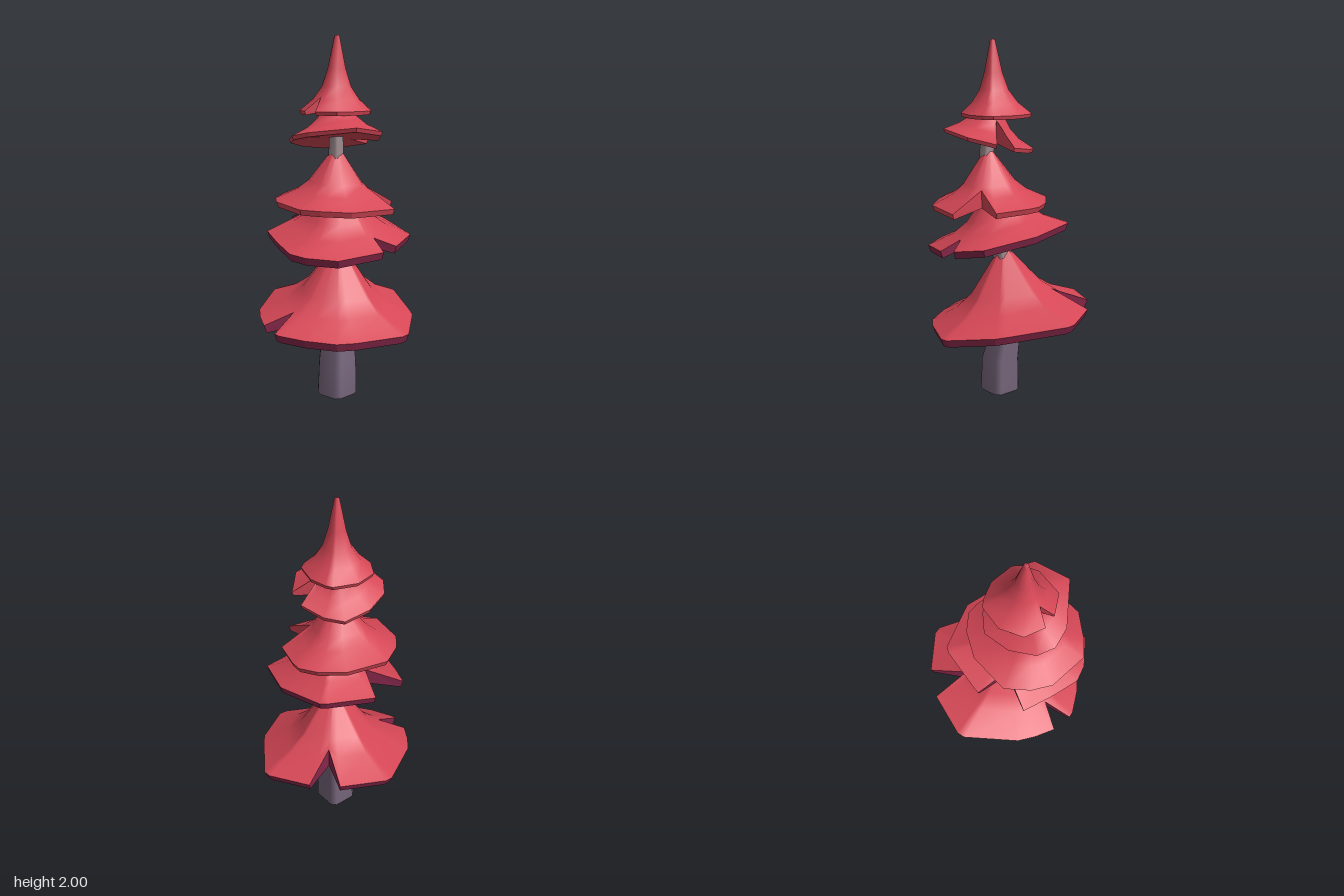
import * as THREE from 'three';

const material = (name, color) => Object.assign(new THREE.MeshStandardMaterial({ color }), { name });

// Height of the foliage surface (1 at the apex, 0 at the rim) by fraction of radius
const SOFT = [[0, 1], [0.08, 0.97], [0.45, 0.38], [0.65, 0.19], [1, 0]];
const SPIRE = [[0, 1], [0.07, 0.99], [0.25, 0.56], [0.41, 0.32], [0.65, 0.15], [1, 0]];
// The underside is slightly inset from the rim
const INSET = 0.965;

function heightAt(profile, f) {
  for (let i = 1; i < profile.length; i++) {
    const [f0, h0] = profile[i - 1], [f1, h1] = profile[i];
    if (f <= f1) return h0 + (h1 - h0) * (f - f0) / (f1 - f0);
  }
  return 0;
}

function geometryFrom(positions, index) {
  const g = new THREE.BufferGeometry();
  g.setAttribute('position', new THREE.Float32BufferAttribute(positions, 3));
  g.setIndex(index);
  g.computeVertexNormals();
  return g;
}

// One skirt of foliage. rim: [x, z] corners, or [x, z, cut] where a notch reaches in to that fraction.
// plane: rim height y = base + sx * x + sz * z; hollow: how far the underside rises to its centre
function tier({ name, apex, rim, plane, thick, hollow, profile = SOFT }, leaf, under) {
  const group = new THREE.Group();
  group.name = name;
  const n = rim.length, rings = profile.length;
  const [base, sx, sz] = plane;

  const surface = (scale, rise) => {
    const p = [];
    for (const [ring] of profile) {
      for (const [x, z, cut = 1] of rim) {
        const f = Math.min(ring, cut);
        const edge = base + sx * x + sz * z;
        const centre = base + sx * apex[0] + sz * apex[2];
        p.push(
          apex[0] + (x - apex[0]) * f * scale,
          rise(f, edge, centre),
          apex[2] + (z - apex[2]) * f * scale
        );
      }
    }
    return p;
  };
  const faces = (flip) => {
    const index = [];
    const tri = (a, b, c) => flip ? index.push(a, c, b) : index.push(a, b, c);
    for (let r = 0; r < rings - 1; r++) {
      for (let k = 0; k < n; k++) {
        const a = r * n + k, a1 = r * n + (k + 1) % n;
        tri(a, a1 + n, a + n);
        if (r > 0) tri(a, a1, a1 + n);
      }
    }
    return index;
  };

  const top = surface(1, (f, edge) => edge + (apex[1] - edge) * heightAt(profile, f));
  const bottom = surface(INSET, (f, edge, centre) =>
    centre + (edge - centre) * f + hollow * (1 - f) - thick);
  const add = (part, geometry, mat) => {
    const mesh = new THREE.Mesh(geometry, mat);
    mesh.name = part;
    group.add(mesh);
  };
  add('foliageTop', geometryFrom(top, faces(false)), leaf);
  add('foliageUnderside', geometryFrom(bottom, faces(true)), under);

  // Rim band, also forming the notch walls, with flat faces
  const band = [], last = (rings - 1) * n;
  const at = (p, k) => p.slice((last + k % n) * 3, (last + k % n) * 3 + 3);
  for (let k = 0; k < n; k++) {
    const t0 = at(top, k), t1 = at(top, k + 1), u0 = at(bottom, k), u1 = at(bottom, k + 1);
    band.push(...t0, ...t1, ...u0, ...t1, ...u1, ...u0);
  }
  add('foliageRim', geometryFrom(band, [...Array(n * 6).keys()]), under);
  return group;
}

// Lofted trunk with a chamfered square section; stations: [x, y, z, half width]
function trunk(name, stations, mat) {
  const corners = [[1, -0.7], [1, 0.7], [0.7, 1], [-0.7, 1], [-1, 0.7], [-1, -0.7], [-0.7, -1], [0.7, -1]];
  const p = [], index = [], n = corners.length;
  for (const [x, y, z, w] of stations) {
    for (const [cx, cz] of corners) p.push(x + cx * w, y, z + cz * w);
  }
  for (let s = 0; s < stations.length - 1; s++) {
    for (let k = 0; k < n; k++) {
      const a = s * n + k, b = s * n + (k + 1) % n;
      index.push(a, a + n, b, b, a + n, b + n);
    }
  }
  // End caps with their own corners
  const cap = (s, flip) => {
    const start = p.length / 3;
    p.push(...p.slice(s * n * 3, (s + 1) * n * 3));
    for (let k = 1; k < n - 1; k++) {
      index.push(start, start + (flip ? k : k + 1), start + (flip ? k + 1 : k));
    }
  };
  cap(0, true);
  cap(stations.length - 1, false);
  const mesh = new THREE.Mesh(geometryFrom(p, index), mat);
  mesh.name = name;
  return mesh;
}

export function createModel() {
  const red = material('red foliage', 0xd64756);
  const plum = material('plum underside', 0x88284a);
  const bark = material('dark bark', 0x75657a);
  const paleBark = material('pale bark', 0x9a888c);

  const tree = new THREE.Group();
  tree.name = 'tree';

  // Trunk and the small twig; the upper trunk shows only between the tiers
  tree.add(trunk('lowerTrunk', [
    [-0.055, 0, 0.04, 0.08], [-0.055, 0.015, 0.04, 0.089], [-0.05, 0.2, 0.04, 0.085],
    [-0.025, 0.38, 0.017, 0.069], [-0.025, 0.53, 0.018, 0.064]
  ], bark));
  tree.add(trunk('middleTrunk', [[-0.03, 0.78, 0.035, 0.044], [-0.04, 1.02, 0.05, 0.038]], paleBark));
  tree.add(trunk('upperTrunk', [[-0.11, 1.34, 0.085, 0.034], [-0.105, 1.52, 0.08, 0.03]], paleBark));
  const twigPath = new THREE.CurvePath();
  const points = [[-0.03, 0.87, 0.03], [0.09, 0.875, -0.035], [0.105, 0.985, -0.055]]
    .map((v) => new THREE.Vector3(...v));
  twigPath.add(new THREE.LineCurve3(points[0], points[1]));
  twigPath.add(new THREE.LineCurve3(points[1], points[2]));
  const twig = new THREE.Mesh(new THREE.TubeGeometry(twigPath, 12, 0.017, 6), paleBark);
  twig.name = 'twig';
  tree.add(twig);

  // Foliage, from the ground up
  tree.add(tier({
    name: 'bottomTier', apex: [-0.03, 0.845, 0.03], plane: [0.467, 0.08, -0.11], thick: 0.042, hollow: 0.075,
    rim: [[0.483, 0.01], [0.3, 0.28], [0.26, 0.33], [0.035, 0.482], [-0.015, 0.482], [-0.26, 0.365],
      [-0.345, 0.305], [-0.435, 0.155], [-0.485, 0.02], [-0.485, -0.015], [-0.47, -0.07, 0.66],
      [-0.45, -0.135], [-0.38, -0.24], [-0.31, -0.32], [-0.035, -0.485], [0.01, -0.485],
      [0.243, -0.37], [0.31, -0.32, 0.56], [0.365, -0.25], [0.483, -0.035]]
  }, red, plum));
  tree.add(tier({
    name: 'secondTier', apex: [-0.05, 1.22, 0.05], plane: [0.942, 0.14, -0.13], thick: 0.04, hollow: 0.08,
    rim: [[0.302, 0.08], [0.2, 0.355], [0.01, 0.41], [-0.06, 0.41, 0.72], [-0.1, 0.415],
      [-0.35, 0.32], [-0.435, 0.17], [-0.45, 0.07], [-0.38, -0.1], [-0.3, -0.26],
      [-0.17, -0.3, 0.55], [-0.04, -0.323], [0.22, -0.225], [0.25, -0.2]]
  }, red, plum));
  tree.add(tier({
    name: 'thirdTier', apex: [-0.1, 1.4, 0.08], plane: [1.115, 0, -0.06], thick: 0.03, hollow: 0.05,
    rim: [[0.233, 0], [0.225, 0.07], [0.17, 0.245], [0.09, 0.33, 0.5], [0, 0.405], [-0.27, 0.345],
      [-0.38, 0.22], [-0.435, 0.13], [-0.38, -0.1], [-0.3, -0.19], [-0.17, -0.265],
      [0.06, -0.205], [0.18, -0.1]]
  }, red, red));
  tree.add(tier({
    name: 'fourthTier', apex: [-0.09, 1.7, 0.07], plane: [1.433, -0.14, 0.2], thick: 0.022, hollow: 0.02,
    rim: [[0.14, 0.095], [0.14, 0.15, 0.38], [0.12, 0.2], [0.01, 0.31], [-0.2, 0.312],
      [-0.325, 0.085], [-0.33, -0.03], [-0.27, -0.11], [-0.13, -0.155], [0.03, -0.14], [0.1, -0.05]]
  }, red, red));
  tree.add(tier({
    name: 'topTier', apex: [-0.08, 2, 0.065], plane: [1.6, 0, 0], thick: 0.02, hollow: 0.04, profile: SPIRE,
    rim: [[0.108, 0.05], [0.07, 0.18], [0.03, 0.21], [-0.06, 0.232], [-0.21, 0.185],
      [-0.255, 0.07], [-0.25, 0.03, 0.6], [-0.253, -0.01], [-0.19, -0.11], [-0.06, -0.14],
      [0.07, -0.09], [0.09, -0.05]]
  }, red, red));
  return tree;
}
